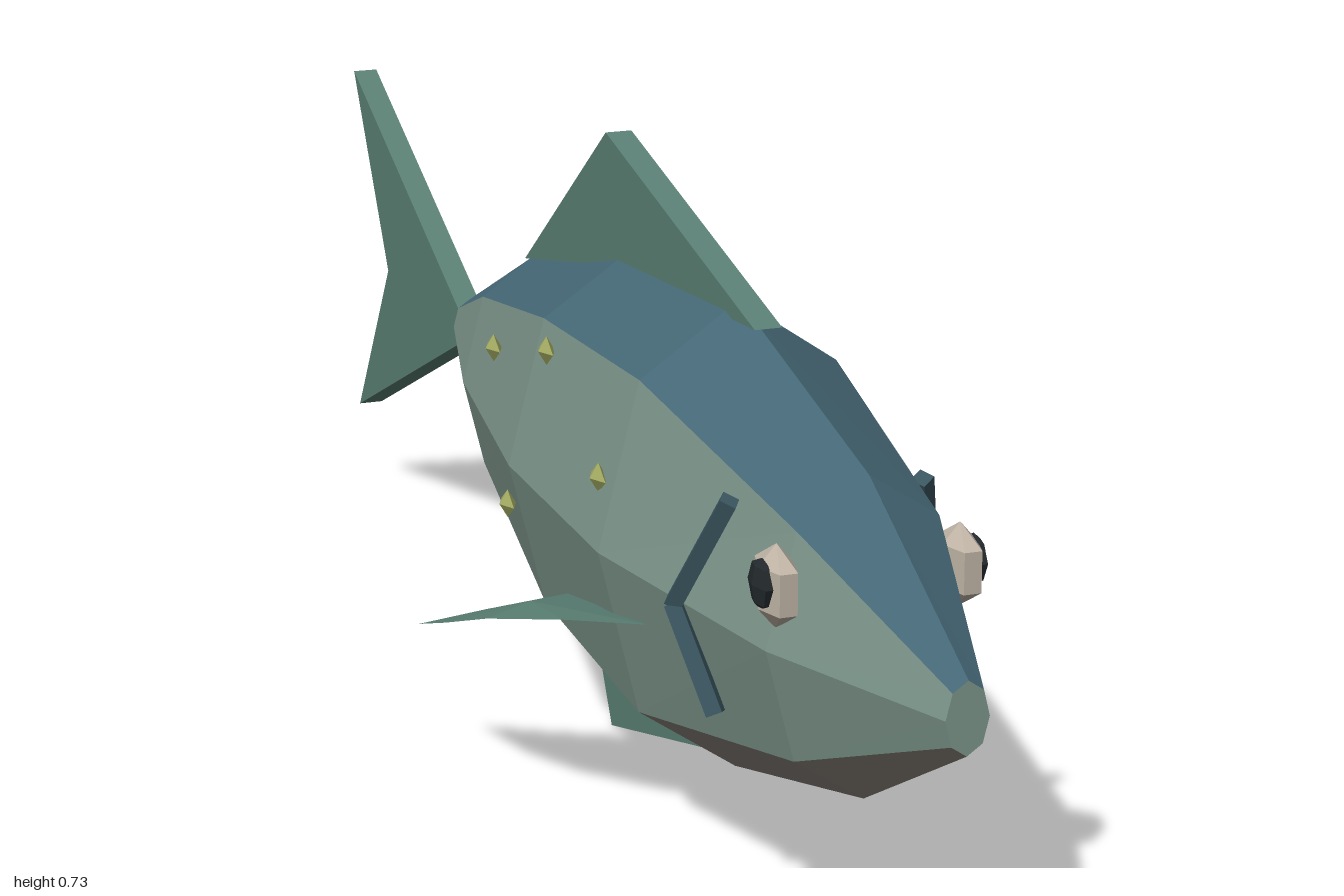
import * as THREE from 'three';

const mat = (color, side = THREE.FrontSide) =>
  new THREE.MeshStandardMaterial({ color, flatShading: true, side });

const backMat = mat(0x456775), flankMat = mat(0x7c958a), bellyMat = mat(0x8c847c);
const finMat = mat(0x5a8074), thinFinMat = mat(0x5a8074, THREE.DoubleSide);
const gillMat = mat(0x3b5660), eyeMat = mat(0xc0b4a6), pupilMat = mat(0x23292d), spotMat = mat(0xa0a860);

// Body stations: z, half width, half height
const MID = 0.35;
const STATIONS = [
  [1, 0.024, 0.04], [0.75, 0.113, 0.178], [0.39, 0.165, 0.273],
  [0.05, 0.152, 0.247], [-0.3, 0.092, 0.153], [-0.55, 0.022, 0.035],
];

function ringPoint([z, w, h], step) {
  const a = step * Math.PI / 4;
  return [w * Math.cos(a), MID + h * Math.sin(a), z];
}

// Skin of the body between the given eighths of the octagonal section
function bodyStrip(steps, caps = false) {
  const pos = [];
  for (const k of steps) {
    for (let s = 0; s < STATIONS.length - 1; s++) {
      const a = ringPoint(STATIONS[s], k), b = ringPoint(STATIONS[s + 1], k);
      const c = ringPoint(STATIONS[s + 1], k + 1), d = ringPoint(STATIONS[s], k + 1);
      pos.push(...a, ...b, ...c, ...a, ...c, ...d);
    }
  }
  if (caps) {
    const nose = STATIONS[0], end = STATIONS[STATIONS.length - 1];
    for (let k = 0; k < 8; k++) {
      pos.push(0, MID, nose[0], ...ringPoint(nose, k), ...ringPoint(nose, k + 1));
      pos.push(0, MID, end[0], ...ringPoint(end, k + 1), ...ringPoint(end, k));
    }
  }
  return fromPositions(pos);
}

function fromPositions(pos) {
  const g = new THREE.BufferGeometry();
  g.setAttribute('position', new THREE.Float32BufferAttribute(pos, 3));
  g.computeVertexNormals();
  return g;
}

// Flat fin on the centre plane, outlined in (z, y)
function flatFin(points, thickness = 0.032) {
  const shape = new THREE.Shape(points.map(([z, y]) => new THREE.Vector2(z, y)));
  const g = new THREE.ExtrudeGeometry(shape, { depth: thickness, bevelEnabled: false });
  g.translate(0, 0, -thickness / 2);
  g.rotateY(-Math.PI / 2);
  return g;
}

// Cupped side fin: a fan of facets around a raised middle
function sideFin(s) {
  const centre = [0.205, 0.263, 0.28];
  const rim = [
    [0.14, 0.293, 0.48], [0.21, 0.281, 0.4], [0.265, 0.256, 0.3],
    [0.28, 0.22, 0.2], [0.275, 0.178, 0.08], [0.215, 0.212, 0.15], [0.14, 0.245, 0.22],
  ];
  const pos = [];
  const put = ([x, y, z]) => pos.push(s * x, y, z);
  rim.forEach((p, i) => {
    const q = rim[(i + 1) % rim.length];
    put(centre);
    (s > 0 ? [p, q] : [q, p]).forEach(put);
  });
  return fromPositions(pos);
}

// Square bar between two points
function bar(from, to, radius) {
  const a = new THREE.Vector3(...from), b = new THREE.Vector3(...to);
  const dir = b.clone().sub(a);
  const g = new THREE.CylinderGeometry(radius, radius, dir.length(), 4);
  g.rotateY(Math.PI / 4);
  g.applyQuaternion(new THREE.Quaternion().setFromUnitVectors(new THREE.Vector3(0, 1, 0), dir.normalize()));
  g.translate(...a.add(b).multiplyScalar(0.5).toArray());
  return g;
}

export function createModel() {
  const fish = new THREE.Group();
  fish.name = 'fish';
  const add = (name, geometry, material, x = 0, y = 0, z = 0) => {
    const mesh = new THREE.Mesh(geometry, material);
    mesh.name = name;
    mesh.position.set(x, y, z);
    fish.add(mesh);
    return mesh;
  };

  // Body in three colour bands
  add('back', bodyStrip([1, 2]), backMat);
  add('flanks', bodyStrip([0, 3, 4, 7], true), flankMat);
  add('belly', bodyStrip([5, 6]), bellyMat);

  // Centre fins
  add('dorsalFin', flatFin([[0.475, 0.612], [0.01, 0.73], [-0.28, 0.508], [0.05, 0.58]]), finMat);
  add('ventralFin', flatFin([[0.35, 0.085], [0.2, 0.13], [-0.04, 0.13], [0.03, 0]]), finMat);
  add('tailFin', flatFin([[-0.54, 0.37], [-1, 0.6], [-0.855, 0.35], [-1, 0.12], [-0.54, 0.33]]), finMat);

  // Paired parts
  for (const [side, s] of [['left', 1], ['right', -1]]) {
    add(side + 'SideFin', sideFin(s), thinFinMat);

    add(side + 'Eye', new THREE.SphereGeometry(0.046, 6, 3), eyeMat, s * 0.103, 0.421, 0.752)
      .scale.set(0.5, 1, 1);
    add(side + 'Pupil', new THREE.SphereGeometry(0.028, 6, 4), pupilMat, s * 0.119, 0.425, 0.752)
      .scale.set(0.4, 1, 1);

    const top = [s * 0.11, 0.48, 0.64], bend = [s * 0.147, 0.35, 0.575], low = [s * 0.118, 0.238, 0.625];
    add(side + 'UpperGill', bar(top, bend, 0.013), gillMat);
    add(side + 'LowerGill', bar(bend, low, 0.013), gillMat);

    // Flank spots
    for (const [x, y, z] of [[0.148, 0.422, 0.345], [0.122, 0.5, 0.1], [0.14, 0.29, 0.01], [0.107, 0.44, -0.135]]) {
      add(side + 'Spot', new THREE.OctahedronGeometry(0.023), spotMat, s * x, y, z).scale.set(0.45, 0.75, 1);
    }
  }
  return fish;
}
